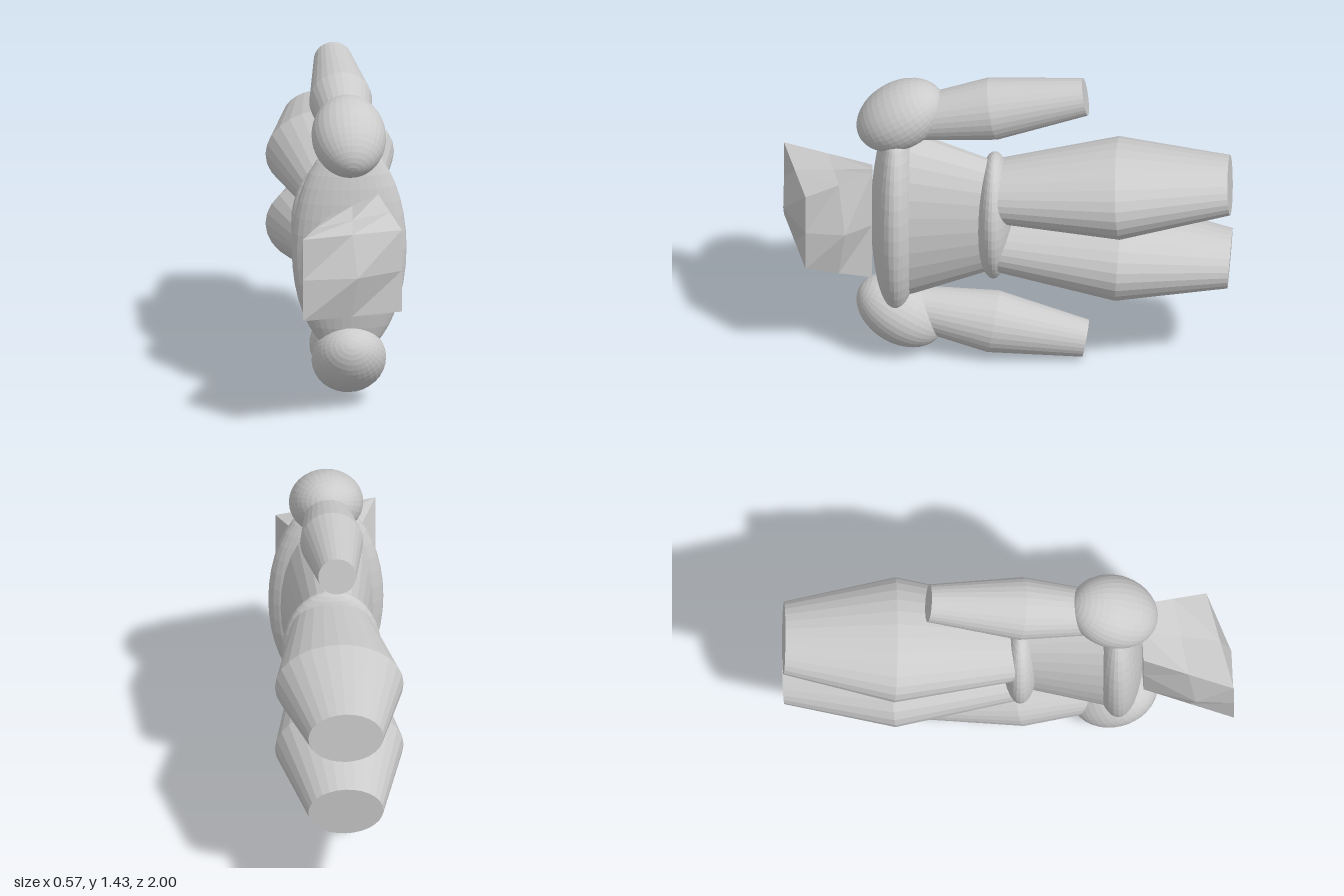
import * as THREE from 'three';

const MID = 0.715; // height of the body's mirror plane
const material = new THREE.MeshStandardMaterial({ color: 0xcccccc, flatShading: true });

function add(parent, name, geometry) {
  const mesh = new THREE.Mesh(geometry, material);
  mesh.name = name;
  parent.add(mesh);
  return mesh;
}

// ellipsoid with radii along x, y, z
function ellipsoid(parent, name, radii, position, tilt = 0) {
  const mesh = add(parent, name, new THREE.SphereGeometry(1, 32, 20));
  mesh.scale.set(...radii);
  mesh.position.set(...position);
  mesh.rotation.x = tilt;
  return mesh;
}

// closed tapered limb running towards -z; profile is a list of [radius, distance]
function limb(parent, name, profile, position, tilt, widthX) {
  const first = profile[0][1], last = profile[profile.length - 1][1];
  const points = [[0, first], ...profile, [0, last]].map(p => new THREE.Vector2(...p));
  const mesh = add(parent, name, new THREE.LatheGeometry(points, 28));
  mesh.scale.x = widthX;
  mesh.position.set(...position);
  mesh.rotation.x = -Math.PI / 2 + tilt;
  return mesh;
}

// skewed block with gently bulging sides
function headGeometry() {
  const geometry = new THREE.BoxGeometry(2, 2, 2, 2, 2, 2);
  const corner = {
    '-1,1,1': [-0.25, 0.905, 1], '1,1,1': [0.2, 0.905, 0.88],
    '-1,-1,1': [-0.25, 0.53, 1], '1,-1,1': [0.2, 0.53, 0.88],
    '-1,1,-1': [-0.11, 0.89, 0.6], '1,1,-1': [0.12, 0.99, 0.59],
    '-1,-1,-1': [-0.11, 0.52, 0.6], '1,-1,-1': [0.12, 0.445, 0.59],
  };
  const bulge = { '0,0,1': [0.02, 0, 0.05], '-1,0,0': [-0.06, 0, 0.03], '1,0,0': [0.05, 0, -0.03] };
  const pos = geometry.attributes.position;
  for (let i = 0; i < pos.count; i++) {
    const v = [pos.getX(i), pos.getY(i), pos.getZ(i)].map(Math.round);
    const out = new THREE.Vector3();
    for (const [key, c] of Object.entries(corner)) {
      const k = key.split(',').map(Number);
      const weight = k.reduce((w, s, a) => w * (1 + s * v[a]) / 2, 1);
      out.addScaledVector(new THREE.Vector3(...c), weight);
    }
    const push = bulge[v.map(n => n + 0).join(',')];
    if (push) out.add(new THREE.Vector3(...push));
    pos.setXYZ(i, out.x, out.y, out.z);
  }
  geometry.computeVertexNormals();
  return geometry;
}

export function createModel() {
  const model = new THREE.Group();
  model.name = 'figure';

  // trunk
  add(model, 'head', headGeometry());
  ellipsoid(model, 'chest', [0.255, 0.495, 0.112], [0, MID, 0.488]);
  limb(model, 'torso', [[0.42, 0], [0.27, 0.4]], [0, MID, 0.45], 0, 0.5);
  ellipsoid(model, 'waist', [0.22, 0.303, 0.085], [0, MID, 0.055]);

  // one arm and leg, turned half round for the other side
  for (const [side, turn] of [['upper', 0], ['lower', Math.PI]]) {
    const half = new THREE.Group();
    half.name = side + 'Limbs';
    half.position.y = MID;
    half.rotation.z = turn;
    ellipsoid(half, 'shoulder', [0.165, 0.211, 0.146], [0, 0.51, 0.47], 2.13);
    limb(half, 'arm', [[0.098, -0.346], [0.14, 0], [0.084, 0.417]], [0, 0.557, 0.06], 0.182, 1);
    limb(half, 'leg', [[0.13, -0.53], [0.204, 0], [0.119, 0.492]], [0, 0.16, -0.5], 0.064, 1.4);
    model.add(half);
  }
  return model;
}
